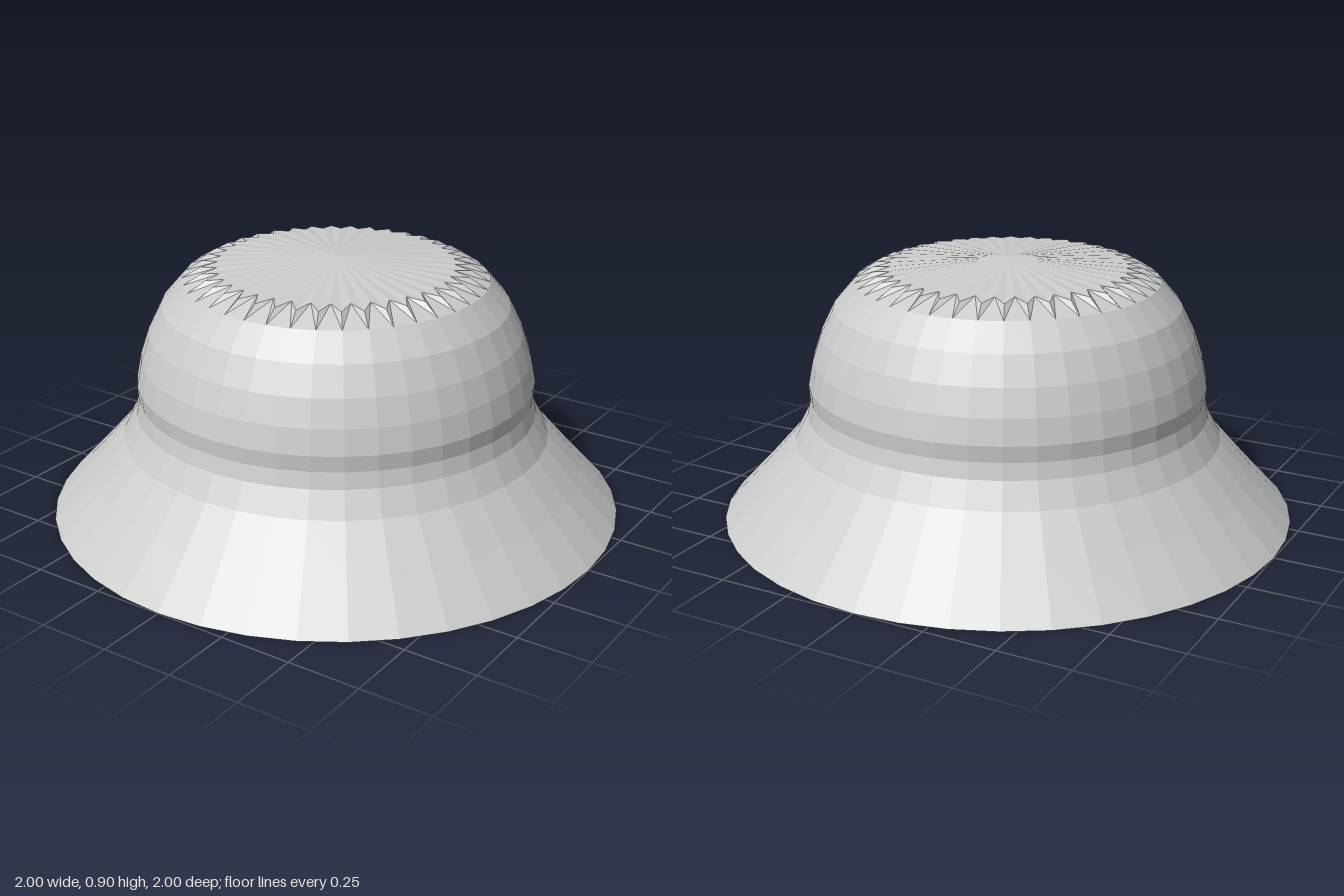
import * as THREE from 'three';

const SEGMENTS = 40;

export function createModel() {
  const hat = new THREE.Group();
  hat.name = 'bucketHat';

  const fabric = new THREE.MeshStandardMaterial({
    color: 0xcccccc, flatShading: true, side: THREE.DoubleSide,
  });
  fabric.name = 'greyFabric';

  const add = (name, geometry) => {
    const mesh = new THREE.Mesh(geometry, fabric);
    mesh.name = name;
    hat.add(mesh);
  };
  const lathe = (profile) =>
    new THREE.LatheGeometry(profile.map(([r, y]) => new THREE.Vector2(r, y)), SEGMENTS);

  // Open flared brim, slightly curved towards the crown
  add('brim', lathe([[1, 0], [0.86, 0.15], [0.745, 0.28], [0.7, 0.365]]));

  // Band with a slight tuck, then the rounded crown wall
  add('band', lathe([[0.7, 0.365], [0.688, 0.42], [0.692, 0.475]]));
  add('crown', lathe([[0.692, 0.475], [0.675, 0.56], [0.645, 0.65],
    [0.598, 0.745], [0.525, 0.83]]));

  // Pleated shoulder and shallow conical top, with alternating inner points
  const pleats = [];
  const top = [];
  const point = (r, y, step) => {
    const a = (step / SEGMENTS) * Math.PI * 2;
    return [r * Math.sin(a), y, r * Math.cos(a)];
  };
  for (let i = 0; i < SEGMENTS; i++) {
    const outerA = point(0.525, 0.83, i);
    const outerB = point(0.525, 0.83, i + 1);
    const valleyA = point(0.462, 0.868, i);
    const valleyB = point(0.462, 0.868, i + 1);
    const tip = point(0.405, 0.876, i + 0.5);
    pleats.push(outerA, outerB, tip, outerA, tip, valleyA, outerB, valleyB, tip);
    top.push(valleyA, tip, [0, 0.905, 0], tip, valleyB, [0, 0.905, 0]);
  }
  const facets = (corners) => {
    const geometry = new THREE.BufferGeometry();
    geometry.setAttribute('position', new THREE.Float32BufferAttribute(corners.flat(), 3));
    geometry.computeVertexNormals();
    return geometry;
  };
  add('pleatedShoulder', facets(pleats));
  add('crownTop', facets(top));

  // Centre the hat over the origin
  const centre = new THREE.Box3().setFromObject(hat).getCenter(new THREE.Vector3());
  hat.position.set(-centre.x, 0, -centre.z);
  return hat;
}
